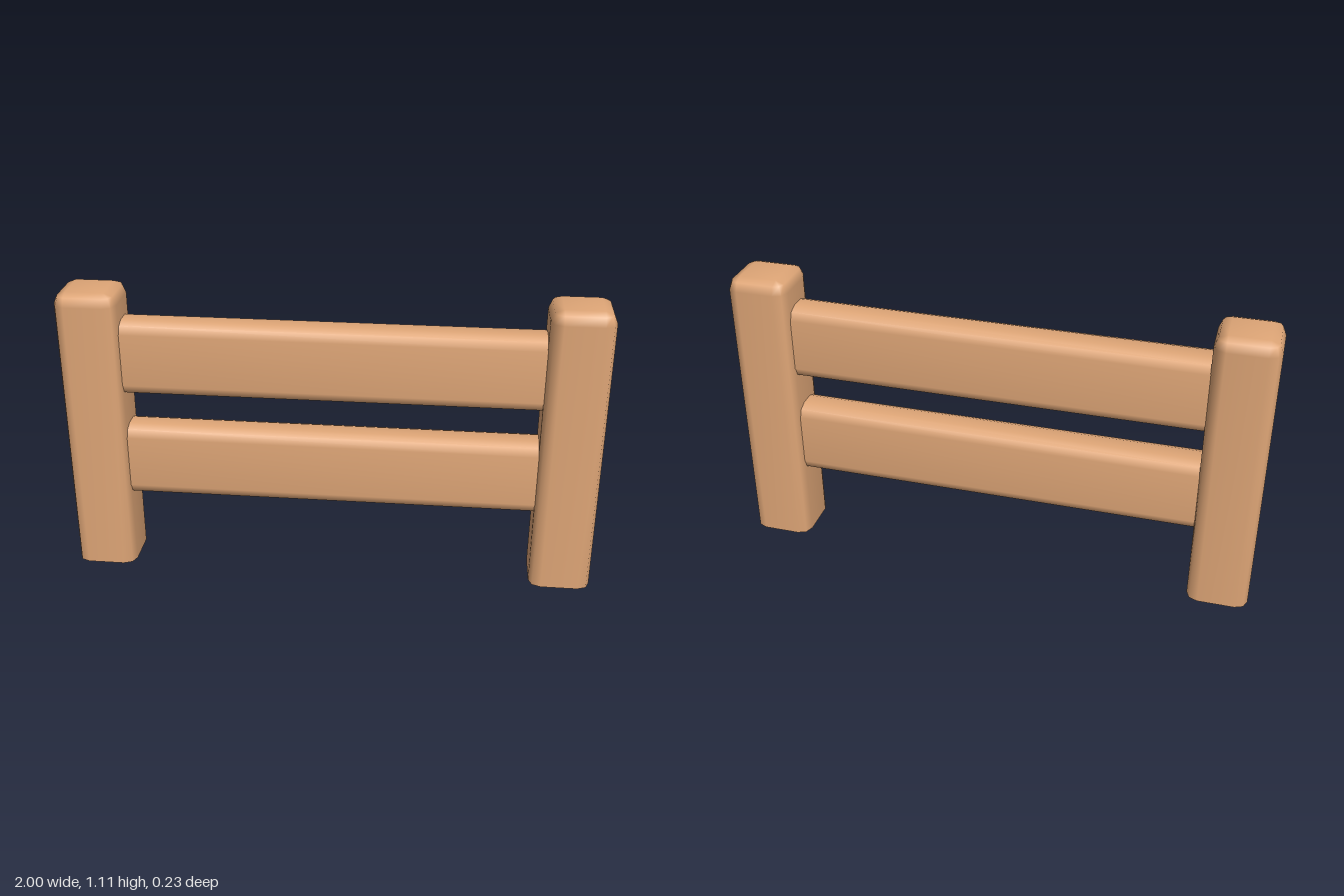
import * as THREE from 'three';
import { mergeVertices } from 'three/addons/utils/BufferGeometryUtils.js';

const ROUND = 0.045; // edge radius shared by all timbers
const STEPS = 2;     // segments per rounded edge

// Rounded rectangle at height y, counter-clockwise seen from above
function section(y, coreX, coreZ, r) {
  const points = [];
  const signs = [[1, 1], [-1, 1], [-1, -1], [1, -1]];
  signs.forEach(([sx, sz], corner) => {
    for (let i = 0; i <= STEPS; i++) {
      const a = (corner + i / STEPS) * Math.PI / 2;
      points.push([sx * coreX + r * Math.cos(a), y, sz * coreZ + r * Math.sin(a)]);
    }
  });
  return points;
}

// Upright hollow timber, open below, with an optional rounded top
function timber(width, height, depth, roundedTop) {
  const coreX = width / 2 - ROUND, coreZ = depth / 2 - ROUND;
  const rings = [section(0, coreX, coreZ, ROUND)];
  if (roundedTop) {
    for (let i = 0; i <= STEPS; i++) {
      const a = i / STEPS * Math.PI / 2;
      rings.push(section(height - ROUND + ROUND * Math.sin(a), coreX, coreZ, ROUND * Math.cos(a)));
    }
  } else {
    rings.push(section(height, coreX, coreZ, ROUND));
  }

  const n = rings[0].length, index = [];
  for (let k = 0; k < rings.length - 1; k++) {
    for (let i = 0; i < n; i++) {
      const j = (i + 1) % n, a = k * n + i, b = k * n + j;
      index.push(a, a + n, b, b, a + n, b + n);
    }
  }
  const positions = rings.flat(2);
  if (roundedTop) {
    const last = (rings.length - 1) * n, centre = rings.length * n;
    positions.push(0, height, 0);
    for (let i = 0; i < n; i++) index.push(last + i, centre, last + (i + 1) % n);
  }
  const geometry = new THREE.BufferGeometry();
  geometry.setAttribute('position', new THREE.Float32BufferAttribute(positions, 3));
  geometry.setIndex(index);
  const merged = mergeVertices(geometry, 1e-4);
  merged.computeVertexNormals();
  return merged;
}

export function createModel() {
  const group = new THREE.Group();
  group.name = 'fence';
  const wood = new THREE.MeshStandardMaterial({ color: 0xdfa677, side: THREE.DoubleSide });
  wood.name = 'wood';

  // Two square posts
  const postGeometry = timber(0.23, 1.11, 0.23, true);
  for (const side of [-1, 1]) {
    const post = new THREE.Mesh(postGeometry, wood);
    post.name = side > 0 ? 'leftPost' : 'rightPost';
    post.position.x = side * 0.885;
    group.add(post);
  }

  // Two rails, laid along x between the posts
  const railLength = 1.55;
  const railGeometry = timber(0.29, railLength, 0.146, false);
  railGeometry.translate(0, -railLength / 2, 0).rotateZ(Math.PI / 2);
  for (const [name, y] of [['lowerRail', 0.433], ['upperRail', 0.851]]) {
    const rail = new THREE.Mesh(railGeometry, wood);
    rail.name = name;
    rail.position.y = y;
    group.add(rail);
  }
  return group;
}
